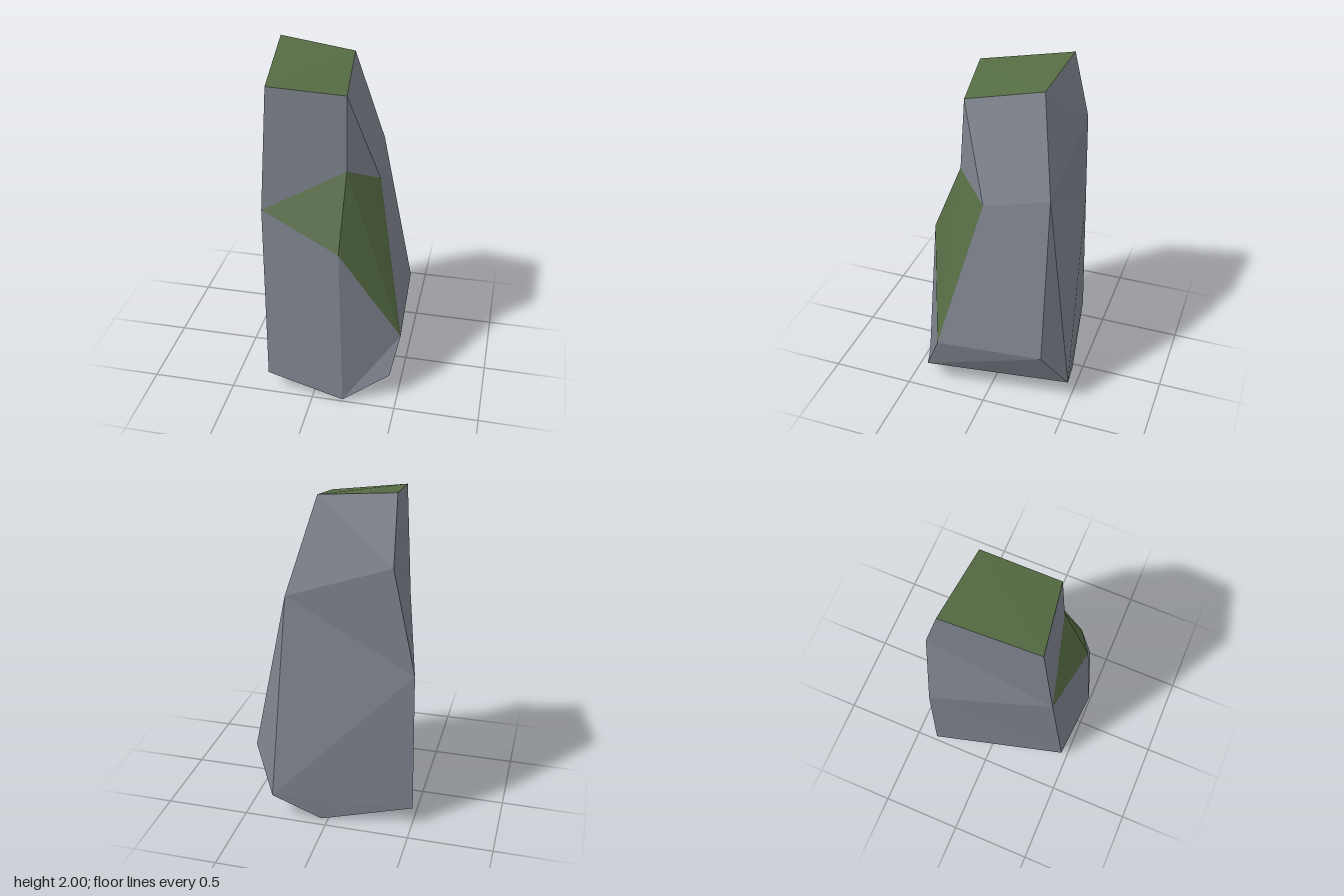
import * as THREE from 'three';

// Corners of the boulder, grouped by ring
const P = {
  // sloping summit
  T1: [-0.35, 2.0, -0.27], T2: [0.1, 1.95, -0.235], T3: [0.14, 1.855, 0.215], T4: [-0.295, 1.9, 0.285],
  // shoulders and front ledge
  M1: [-0.315, 1.19, 0.37], M2: [0.15, 1.42, 0.245], M3: [0.31, 1.3, 0.05],
  M4: [0.14, 0.98, 0.425], M5: [0.495, 0.38, 0.29],
  // back and sides
  B1: [-0.355, 1.61, -0.36], B2: [0.27, 1.38, -0.33], B3: [0.465, 0.41, -0.355], B4: [0.33, 0.15, -0.49],
  L1: [-0.5, 0.11, -0.355], L2: [-0.485, 0.975, -0.34],
  // foot
  F1: [-0.28, 0.115, 0.465], F2: [0.185, 0.005, 0.49], F3: [0.45, 0.15, 0.385], G: [0.04, 0, -0.44],
};

// Facets, corners counter-clockwise from outside
const parts = {
  frontRock: ['T4 M1 M2 T3', 'M1 F1 F2 M4', 'M4 F2 M5', 'M5 F2 F3'],
  rightRock: ['T3 M2 M3', 'T3 M3 B2 T2', 'M3 M5 B3 B2', 'M5 F3 B3', 'F3 B4 B3', 'F3 F2 G B4'],
  backRock: ['T2 B2 B1 T1', 'B2 L2 B1', 'B2 B4 L2', 'B4 L1 L2', 'B2 B3 B4', 'B4 G L1'],
  leftRock: ['T1 B1 M1 T4', 'B1 L2 M1', 'L2 L1 F1 M1'],
  underside: ['L1 G F2 F1'],
  mossyTop: ['T4 T3 T2 T1'],
  mossyLedge: ['M1 M4 M2', 'M2 M4 M5 M3'],
};

// Fan each facet into unshared triangles so every face stays flat
function facets(list) {
  const pos = [];
  for (const facet of list) {
    const c = facet.split(' ').map((n) => P[n]);
    for (let i = 1; i < c.length - 1; i++) pos.push(...c[0], ...c[i], ...c[i + 1]);
  }
  const g = new THREE.BufferGeometry();
  g.setAttribute('position', new THREE.Float32BufferAttribute(pos, 3));
  g.computeVertexNormals();
  return g;
}

export function createModel() {
  const stone = new THREE.MeshStandardMaterial({ color: 0x7d828c });
  stone.name = 'stone grey';
  const moss = new THREE.MeshStandardMaterial({ color: 0x556b43 });
  moss.name = 'moss green';
  const group = new THREE.Group();
  group.name = 'mossyBoulder';
  for (const [name, list] of Object.entries(parts)) {
    const mesh = new THREE.Mesh(facets(list), name.startsWith('mossy') ? moss : stone);
    mesh.name = name;
    group.add(mesh);
  }
  return group;
}
